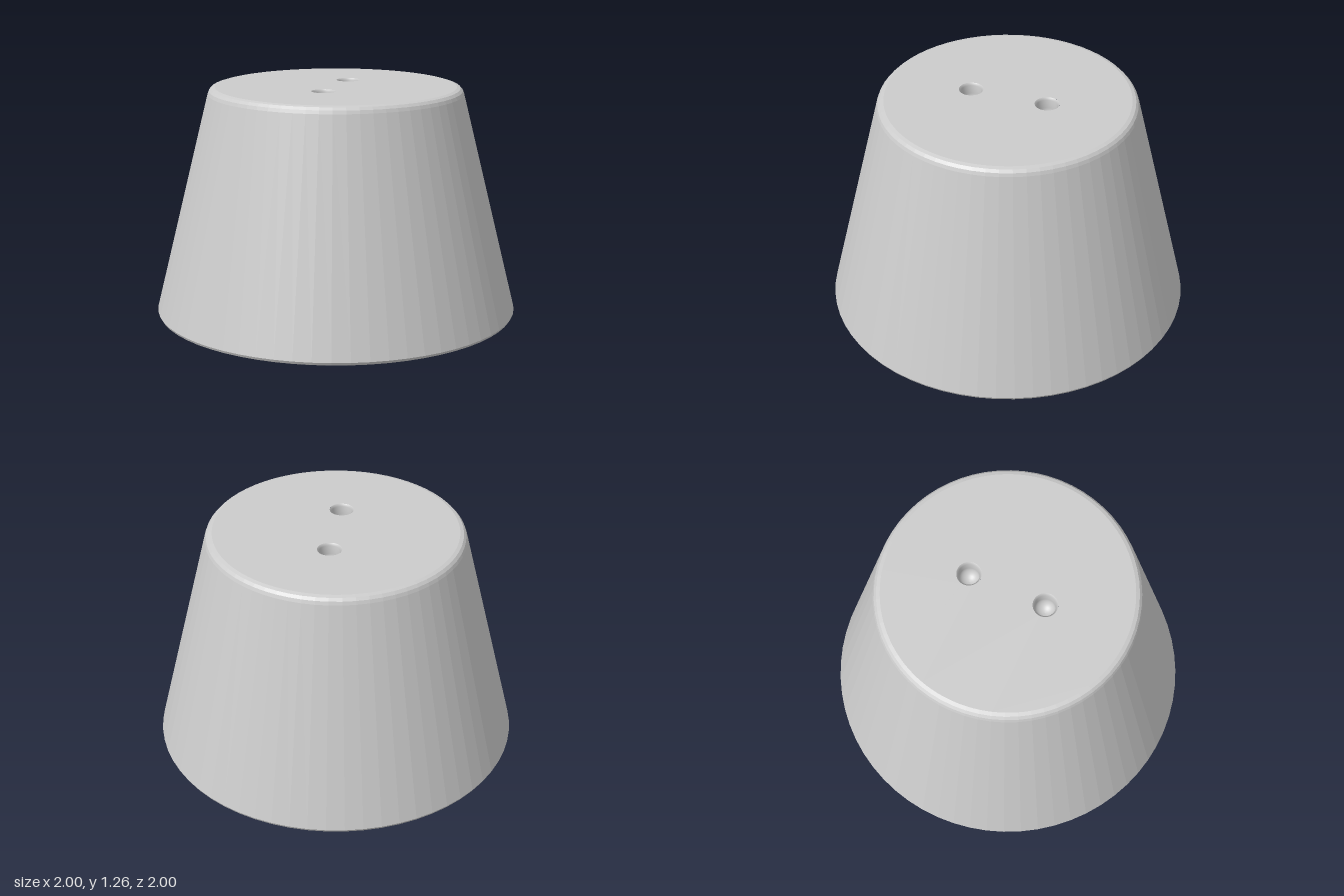
import * as THREE from 'three';

const SIDES = 64;
const HEIGHT = 1.26;
const TOP_RADIUS = 0.66;
const HOLE_RADIUS = 0.066;
const HOLE_Z = [-0.22, 0.21];

const material = new THREE.MeshStandardMaterial({ color: 0xcccccc, flatShading: true });
const smooth = new THREE.MeshStandardMaterial({ color: 0xcccccc });

function part(name, geometry, mat = material) {
  const mesh = new THREE.Mesh(geometry, mat);
  mesh.name = name;
  return mesh;
}

function lathe(points, sides) {
  return new THREE.LatheGeometry(points.map(([r, y]) => new THREE.Vector2(r, y)), sides);
}

export function createModel() {
  const group = new THREE.Group();
  group.name = 'taperedFoot';

  // Closed base, small bottom edge, sloping wall and rounded shoulder
  group.add(part('body', lathe([
    [0, 0], [0.98, 0], [0.993, 0.006], [1, 0.02],
    [0.7, 1.222], [0.693, 1.24], [0.68, 1.254], [TOP_RADIUS, HEIGHT],
  ], SIDES)));

  // Flat top pierced by the two holes
  const top = new THREE.Shape().absarc(0, 0, TOP_RADIUS, 0, Math.PI * 2);
  for (const z of HOLE_Z) {
    top.holes.push(new THREE.Path().absarc(0, -z, HOLE_RADIUS, 0, Math.PI * 2, true));
  }
  const topGeometry = new THREE.ShapeGeometry(top, SIDES);
  topGeometry.rotateX(-Math.PI / 2).translate(0, HEIGHT, 0);
  group.add(part('topFace', topGeometry));

  // Blind holes: bevelled rim, short wall and rounded floor
  const inner = 0.056;
  const profile = [[HOLE_RADIUS, 0], [inner, -0.012]];
  for (let i = 0; i <= 8; i++) {
    const a = (i / 8) * Math.PI / 2;
    profile.push([i === 8 ? 0 : inner * Math.cos(a), -0.06 - inner * Math.sin(a)]);
  }
  for (const z of HOLE_Z) {
    const hole = part(z < 0 ? 'backHole' : 'frontHole', lathe(profile, SIDES), smooth);
    hole.position.set(0, HEIGHT, z);
    group.add(hole);
  }
  return group;
}
